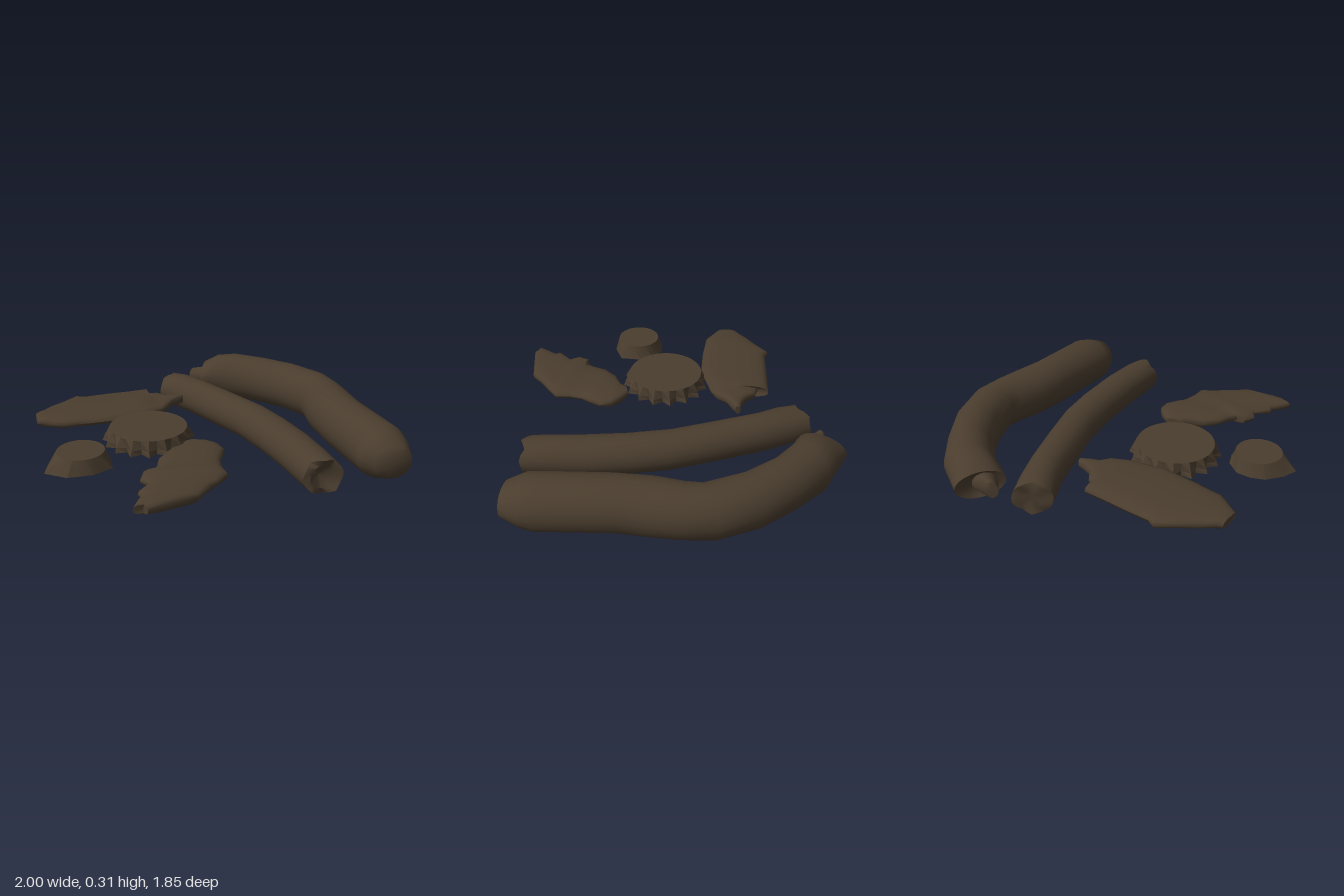
import * as THREE from 'three';
import { toCreasedNormals } from 'three/addons/utils/BufferGeometryUtils.js';

// Skin a list of rings, each an array of [x, y, z] with the same count
function skin(rings, crease) {
  const n = rings[0].length, pos = rings.flat(2), index = [];
  for (let i = 0; i < rings.length - 1; i++) {
    for (let j = 0; j < n; j++) {
      const a = i * n + j, b = i * n + (j + 1) % n;
      index.push(a, b, a + n, b, b + n, a + n);
    }
  }
  const g = new THREE.BufferGeometry();
  g.setAttribute('position', new THREE.Float32BufferAttribute(pos, 3));
  g.setIndex(index);
  return toCreasedNormals(g, crease);
}

// Horizontal loft: section = [left x, left z, right x, right z, half height, end raggedness]
function loft(sections, y, { sides = 20, power = 1, crease = 0.9 } = {}) {
  const bend = v => Math.sign(v) * Math.pow(Math.abs(v), power);
  return skin(sections.map(([lx, lz, rx, rz, h, jag = 0]) => {
    const ring = [];
    for (let j = 0; j < sides; j++) {
      const t = j / sides * Math.PI * 2;
      const c = bend(Math.cos(t)), s = bend(Math.sin(t));
      ring.push([
        (lx + rx) / 2 + (rx - lx) / 2 * c,
        y + h * s,
        (lz + rz) / 2 + (rz - lz) / 2 * c + jag * Math.sin(t * 5) * Math.abs(s)
      ]);
    }
    return ring;
  }), crease);
}

export function createModel() {
  const group = new THREE.Group();
  const brown = new THREE.MeshStandardMaterial({ color: 0x4a3d2e });
  brown.name = 'dark brown';
  const add = (name, geometry) => {
    const mesh = new THREE.Mesh(geometry, brown);
    mesh.name = name;
    group.add(mesh);
  };

  // Thick bent log: broken stub at the back, rounded end at the front
  add('thickLog', loft([
    [0.34, -0.83, 0.34, -0.83, 0],
    [0.30, -0.81, 0.37, -0.84, 0.05],
    [0.36, -0.73, 0.46, -0.83, 0.06],
    [0.33, -0.70, 0.50, -0.925, 0.08],
    [0.39, -0.66, 0.58, -0.86, 0.135],
    [0.45, -0.62, 0.70, -0.77, 0.15],
    [0.56, -0.50, 0.83, -0.58, 0.15],
    [0.66, -0.31, 0.94, -0.38, 0.15],
    [0.72, -0.08, 1.00, -0.15, 0.15],
    [0.70, -0.02, 0.98, 0.04, 0.15],
    [0.64, 0.13, 0.95, 0.18, 0.153],
    [0.60, 0.34, 0.90, 0.35, 0.155],
    [0.55, 0.68, 0.85, 0.77, 0.153],
    [0.53, 0.76, 0.82, 0.84, 0.135],
    [0.56, 0.86, 0.76, 0.925, 0.095],
    [0.60, 0.89, 0.72, 0.925, 0.055],
    [0.66, 0.915, 0.66, 0.915, 0]
  ], 0.157));

  // Thin bent log with ragged, dished ends
  add('thinLog', loft([
    [0.14, -0.74, 0.14, -0.74, 0],
    [0.08, -0.73, 0.19, -0.78, 0.06],
    [0.03, -0.70, 0.23, -0.80, 0.095, 0.015],
    [0.06, -0.61, 0.27, -0.68, 0.112],
    [0.10, -0.50, 0.32, -0.50, 0.112],
    [0.15, -0.25, 0.38, -0.23, 0.112],
    [0.20, 0.00, 0.43, 0.03, 0.112],
    [0.21, 0.25, 0.44, 0.25, 0.112],
    [0.20, 0.50, 0.43, 0.50, 0.112],
    [0.18, 0.70, 0.40, 0.72, 0.11],
    [0.17, 0.78, 0.38, 0.84, 0.1, 0.02],
    [0.20, 0.80, 0.34, 0.81, 0.065],
    [0.27, 0.77, 0.27, 0.77, 0]
  ], 0.127));

  // Two rippled bark pieces
  const bark = { power: 0.75, crease: 0.8 };
  add('backBark', loft([
    [-0.86, -0.45, -0.86, -0.45, 0],
    [-0.87, -0.43, -0.85, -0.55, 0.022],
    [-0.83, -0.40, -0.82, -0.56, 0.034],
    [-0.79, -0.36, -0.79, -0.58, 0.031],
    [-0.75, -0.33, -0.74, -0.61, 0.038],
    [-0.67, -0.31, -0.66, -0.65, 0.036],
    [-0.60, -0.29, -0.55, -0.71, 0.04],
    [-0.50, -0.27, -0.51, -0.68, 0.038],
    [-0.39, -0.25, -0.36, -0.66, 0.04],
    [-0.28, -0.26, -0.24, -0.64, 0.038],
    [-0.19, -0.27, -0.11, -0.62, 0.04],
    [-0.14, -0.28, -0.14, -0.56, 0.03],
    [-0.10, -0.30, -0.08, -0.53, 0.036],
    [-0.05, -0.35, -0.05, -0.47, 0.03],
    [0.00, -0.37, 0.00, -0.44, 0.032],
    [0.05, -0.39, 0.05, -0.42, 0.026],
    [0.05, -0.405, 0.05, -0.405, 0]
  ], 0.177, bark));
  add('frontBark', loft([
    [-0.21, 0.23, -0.21, 0.23, 0],
    [-0.25, 0.235, -0.17, 0.225, 0.025],
    [-0.28, 0.265, -0.11, 0.28, 0.036],
    [-0.37, 0.29, -0.08, 0.33, 0.04],
    [-0.45, 0.35, -0.08, 0.40, 0.038],
    [-0.49, 0.42, -0.12, 0.45, 0.04],
    [-0.53, 0.46, -0.16, 0.50, 0.033],
    [-0.58, 0.45, -0.19, 0.58, 0.04],
    [-0.62, 0.51, -0.20, 0.66, 0.039],
    [-0.60, 0.57, -0.27, 0.70, 0.031],
    [-0.68, 0.63, -0.33, 0.73, 0.039],
    [-0.68, 0.67, -0.38, 0.76, 0.032],
    [-0.71, 0.70, -0.44, 0.80, 0.037],
    [-0.76, 0.76, -0.58, 0.80, 0.03],
    [-0.71, 0.77, -0.70, 0.80, 0.022],
    [-0.705, 0.785, -0.705, 0.785, 0]
  ], 0.177, bark));

  // Toothed cap: round top flaring to a sixteen-point rim
  const rim = (y, radius) => Array.from({ length: 32 }, (_, j) => {
    const t = j / 32 * Math.PI * 2, r = radius(j);
    return [-0.345 + Math.sin(t) * r, y, -0.02 + Math.cos(t) * r];
  });
  add('toothedCap', skin([
    rim(0.137, () => 0),
    rim(0.137, j => j % 2 ? 0.215 : 0.262),
    rim(0.165, j => j % 2 ? 0.215 : 0.25),
    rim(0.217, () => 0.22),
    rim(0.217, () => 0)
  ], 0.1));

  // Low stump: irregular base below a round flat top
  const base = [[-0.78, 0.27], [-0.66, 0.24], [-0.63, 0.12], [-0.65, 0.04], [-0.72, -0.03],
    [-0.80, -0.04], [-0.88, -0.02], [-0.96, 0.06], [-1.0, 0.14], [-0.91, 0.24]];
  const top = (r, sides = 30) => Array.from({ length: sides }, (_, j) => {
    const t = j / sides * Math.PI * 2;
    return [-0.79 + Math.sin(t) * r, 0.217, 0.115 + Math.cos(t) * r];
  });
  const foot = [];
  base.forEach(([x, z], i) => {
    const [u, v] = base[(i + 1) % base.length];
    for (let k = 0; k < 3; k++) foot.push([x + (u - x) * k / 3, 0.137, z + (v - z) * k / 3]);
  });
  add('stump', skin([foot.map(() => [-0.81, 0.137, 0.115]), foot, top(0.128), top(0)], 0.35));

  return group;
}
